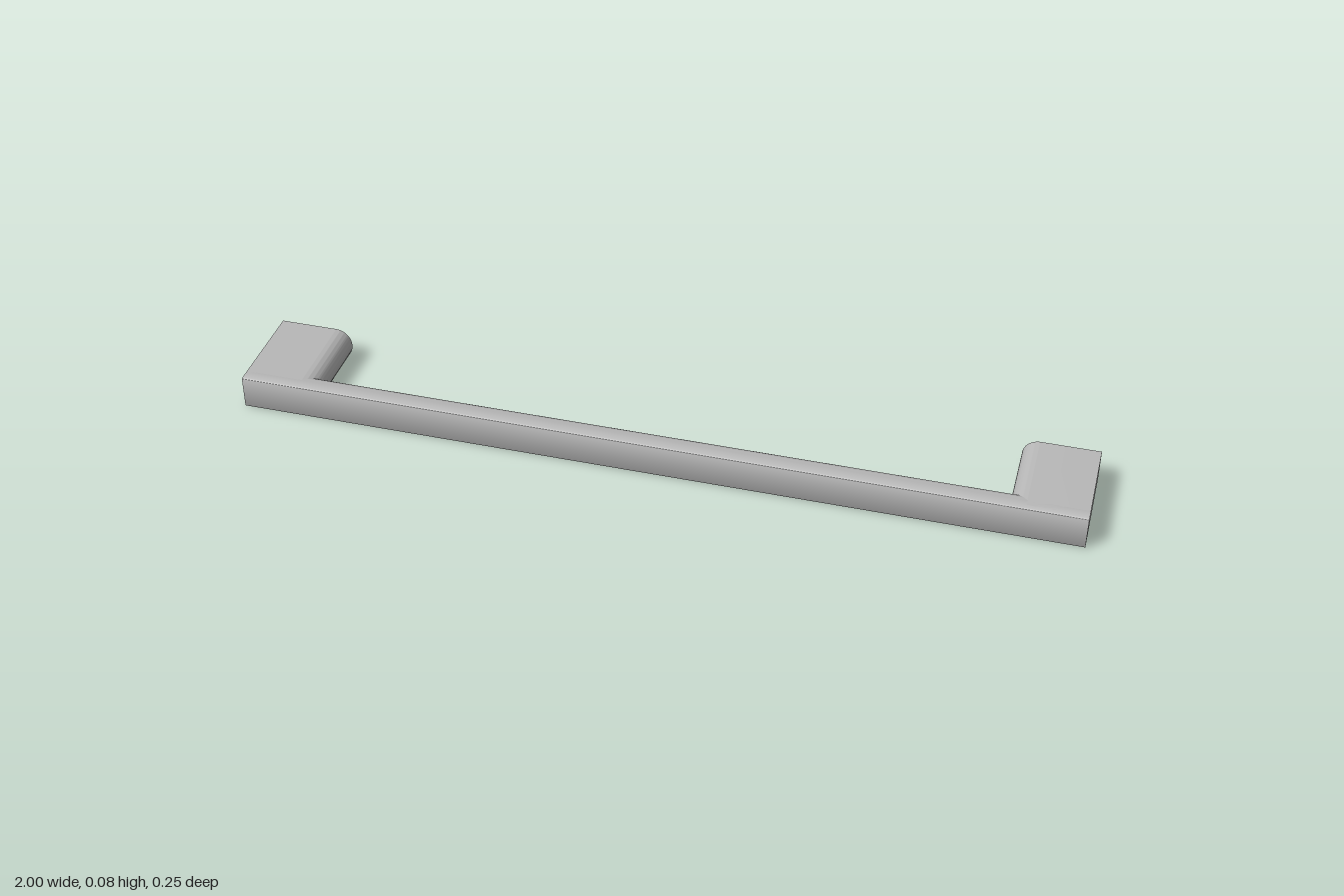
import * as THREE from 'three';
import { toCreasedNormals } from 'three/addons/utils/BufferGeometryUtils.js';

const HEIGHT = 0.082;   // overall thickness
const HALF_Z = 0.125;   // half the projection depth

// D-shaped bar: flat outer face at x = 0 (edge radius e), rounded inner side at x = depth
function dBar(depth, length, e) {
  const r = 0.039, H = HEIGHT;
  const s = new THREE.Shape();
  s.moveTo(e, 0);
  s.lineTo(depth - r, 0);
  s.absarc(depth - r, r, r, -Math.PI / 2, 0, false);
  s.lineTo(depth, H - r);
  s.absarc(depth - r, H - r, r, 0, Math.PI / 2, false);
  s.lineTo(e, H);
  if (e > 0) {
    s.absarc(e, H - e, e, Math.PI / 2, Math.PI, false);
    s.lineTo(0, e);
    s.absarc(e, e, e, Math.PI, Math.PI * 1.5, false);
  } else {
    s.lineTo(0, 0);
  }
  const geo = new THREE.ExtrudeGeometry(s, { depth: length, bevelEnabled: false, curveSegments: 14 });
  return toCreasedNormals(geo, 0.6);
}

export function createModel() {
  const group = new THREE.Group();
  group.name = 'pullHandle';
  const metal = new THREE.MeshStandardMaterial({ color: 0xb8b8b8 });
  metal.name = 'brushed metal';

  const add = (name, geo) => {
    const mesh = new THREE.Mesh(geo, metal);
    mesh.name = name;
    group.add(mesh);
  };

  // Long grip: flat face forward, rounded towards the fingers
  add('gripBar', dBar(0.07, 2, 0.005).rotateY(Math.PI / 2).translate(-1, 0, HALF_Z));

  // Mounting legs: flat outer ends, rounded inner sides, running into the grip
  const legLength = 0.235;
  add('rightLeg', dBar(0.178, legLength, 0).translate(-1, 0, -HALF_Z));
  add('leftLeg', dBar(0.178, legLength, 0).rotateZ(Math.PI).translate(1, HEIGHT, -HALF_Z));

  return group;
}
